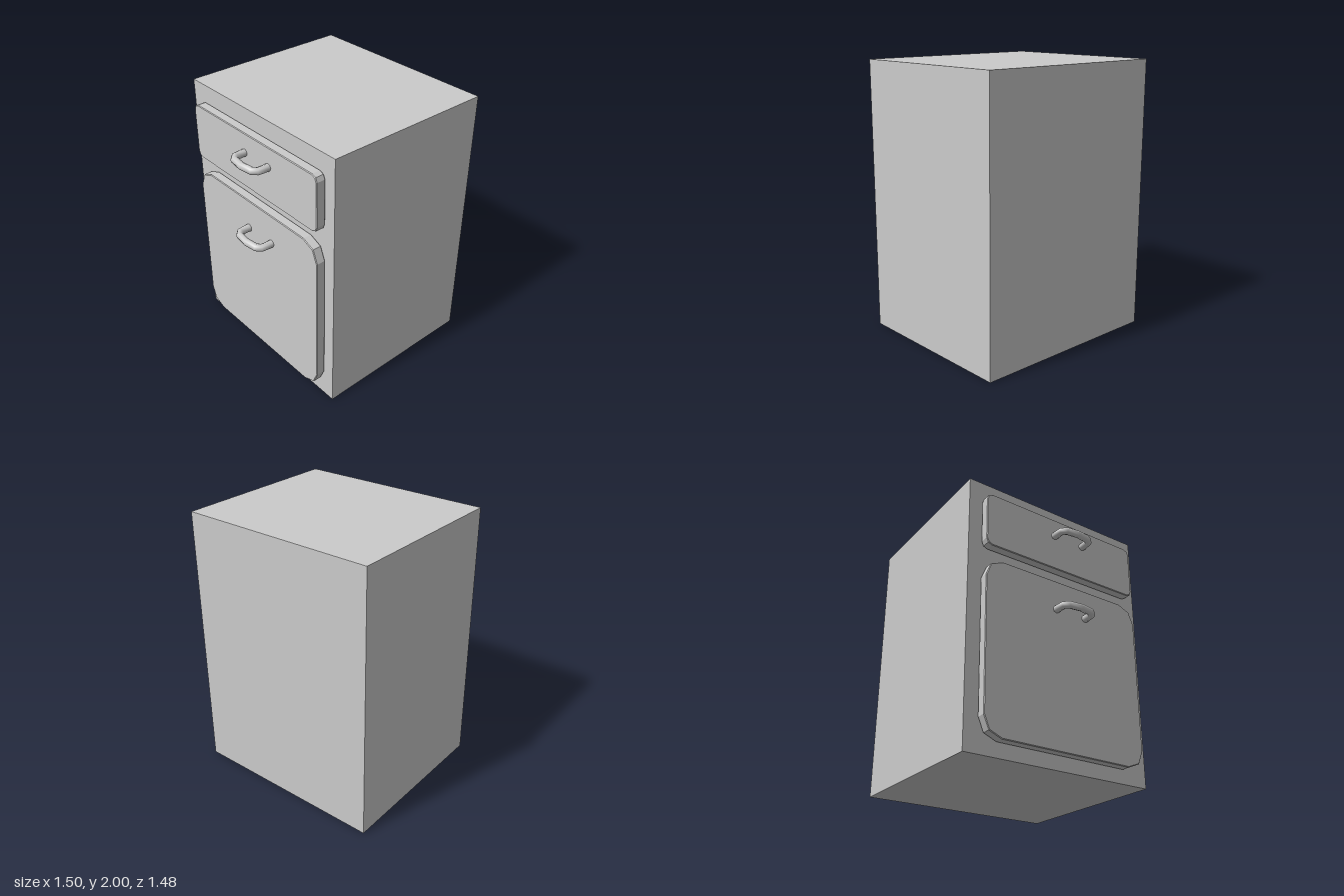
import * as THREE from 'three';

const material = new THREE.MeshStandardMaterial({ color: 0xcccccc });

function addMesh(parent, name, geometry) {
  const mesh = new THREE.Mesh(geometry, material);
  mesh.name = name;
  parent.add(mesh);
  return mesh;
}

// Upright slab facing -x, with corners rounded in two facets
function panelGeometry(z0, z1, y0, y1, r) {
  const s = new THREE.Shape();
  s.absarc(z1 - r, y0 + r, r, -Math.PI / 2, 0);
  s.absarc(z1 - r, y1 - r, r, 0, Math.PI / 2);
  s.absarc(z0 + r, y1 - r, r, Math.PI / 2, Math.PI);
  s.absarc(z0 + r, y0 + r, r, Math.PI, Math.PI * 1.5);
  s.closePath();
  const bevel = 0.005;
  const g = new THREE.ExtrudeGeometry(s, {
    depth: 0.06, curveSegments: 1, bevelEnabled: true, bevelSegments: 1,
    bevelThickness: bevel, bevelSize: bevel, bevelOffset: -bevel,
  });
  return g.rotateY(-Math.PI / 2).translate(-0.54, 0, 0);
}

// Bow handle lying in the xz plane, mirrored about z = 0
function handleGeometry() {
  const half = [[-0.59, -0.126], [-0.63, -0.126], [-0.685, -0.122], [-0.712, -0.092]];
  const pts = [...half, [-0.724, 0], ...half.map(([x, z]) => [x, -z]).reverse()]
    .map(([x, z]) => new THREE.Vector3(x, 0, z));
  const curve = new THREE.CatmullRomCurve3(pts);
  // Place one ring exactly on each path point
  curve.getPointAt = (t, target) => curve.getPoint(t, target);
  curve.getTangentAt = (t, target) => curve.getTangent(t, target);
  return new THREE.TubeGeometry(curve, pts.length - 1, 0.027, 8, false);
}

export function createModel() {
  const model = new THREE.Group();
  model.name = 'cabinet';

  // Plain box carcass
  addMesh(model, 'body', new THREE.BoxGeometry(1.28, 2, 1.48)).position.set(0.11, 1, 0);

  // Drawer above a door, each with a handle
  const fronts = [
    { name: 'drawer', y0: 1.46, y1: 1.875, r: 0.045, handleY: 1.73 },
    { name: 'door', y0: 0.1, y1: 1.355, r: 0.135, handleY: 1.128 },
  ];
  for (const f of fronts) {
    const group = new THREE.Group();
    group.name = f.name;
    addMesh(group, f.name + 'Panel', panelGeometry(-0.64, 0.66, f.y0, f.y1, f.r));
    addMesh(group, f.name + 'Handle', handleGeometry()).position.set(0, f.handleY, 0.062);
    model.add(group);
  }
  return model;
}
